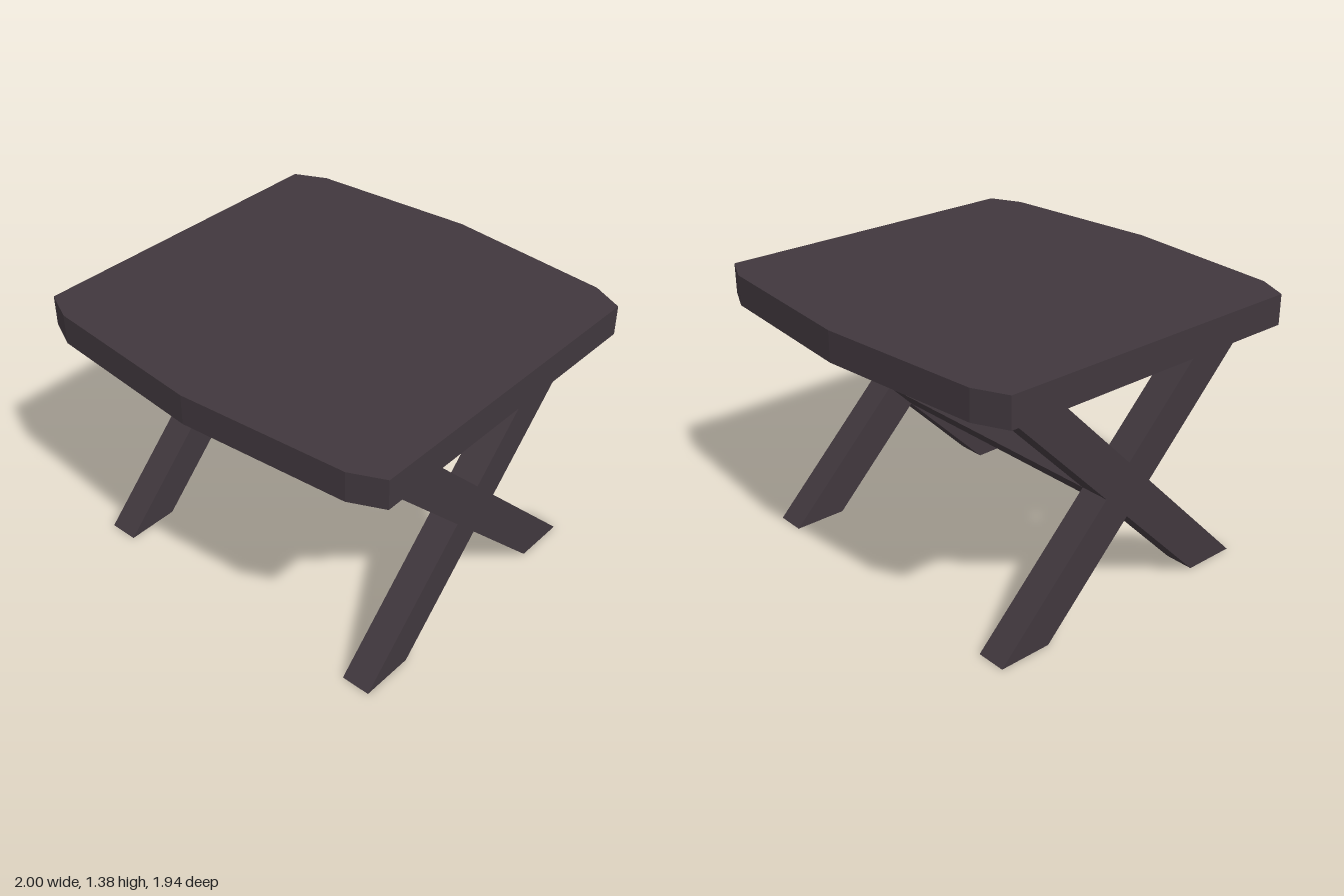
import * as THREE from 'three';

const darkWood = new THREE.MeshStandardMaterial({ color: 0x40373d });
darkWood.name = 'darkWood';

// Extrudes a closed outline, centred on its depth
function slab(points, depth) {
  const shape = new THREE.Shape(points.map(([x, y]) => new THREE.Vector2(x, y)));
  return new THREE.ExtrudeGeometry(shape, { depth, bevelEnabled: false }).translate(0, 0, -depth / 2);
}

export function createModel() {
  const model = new THREE.Group();
  model.name = 'stool';
  const add = (name, geometry) => {
    const mesh = new THREE.Mesh(geometry, darkWood);
    mesh.name = name;
    model.add(mesh);
    return mesh;
  };

  const legTop = 1.23, mid = legTop / 2, half = 0.137, thickness = 0.15;

  // Seat: square with clipped corners and bowed front and back edges
  const seat = slab([
    [1, -0.82], [1, 0.82], [0.84, 0.895], [0, 0.968], [-0.84, 0.895],
    [-1, 0.82], [-1, -0.82], [-0.84, -0.895], [0, -0.968], [0.84, -0.895],
  ], thickness).rotateX(-Math.PI / 2);
  add('seat', seat).position.y = legTop + thickness / 2;

  // Crossed legs: one X-shaped frame at each side
  const inner = mid - half, outer = mid + half;
  const cross = slab([
    [-outer, 0], [-inner, 0], [0, inner], [inner, 0], [outer, 0], [half, mid],
    [outer, legTop], [inner, legTop], [0, outer], [-inner, legTop], [-outer, legTop], [-half, mid],
  ], thickness).rotateY(-Math.PI / 2);
  add('leftCrossLegs', cross).position.x = 0.787;
  add('rightCrossLegs', cross).position.x = -0.795;

  // Stretcher: square bar turned on edge between the crossings
  const side = half * Math.SQRT2;
  const stretcher = add('stretcher', new THREE.BoxGeometry(1.432, side, side));
  stretcher.position.set(-0.004, mid, 0);
  stretcher.rotation.x = Math.PI / 4;

  return model;
}
